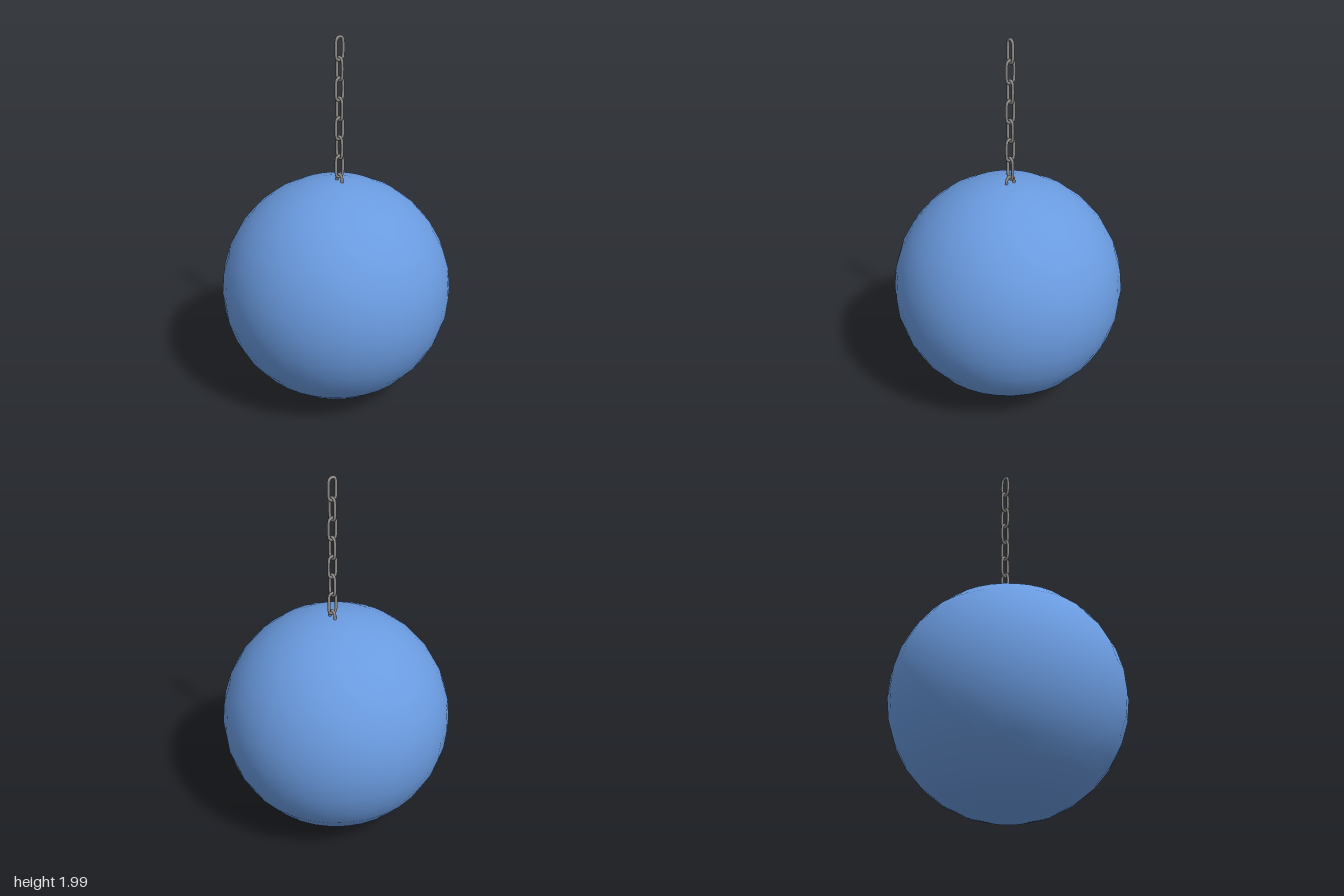
import * as THREE from 'three';

const BALL_RADIUS = 0.613, BALL_Y = 0.619;
const LINK_LENGTH = 0.133, LINK_WIDTH = 0.057, WIRE = 0.0075;
const LINK_SPACING = 0.1035, LINK_COUNT = 8, CHAIN_Z = -0.022;

// Closed oval centre line: two straight sides joined by half circles
function linkCurve() {
  const r = LINK_WIDTH / 2 - WIRE;
  const h = LINK_LENGTH / 2 - WIRE - r;
  const points = [];
  for (const side of [1, -1]) {
    for (let i = 0; i <= 6; i++) {
      const a = (i / 6) * Math.PI + (side < 0 ? Math.PI : 0);
      points.push(new THREE.Vector3(r * Math.cos(a), side * h + r * Math.sin(a), 0));
    }
  }
  return new THREE.CatmullRomCurve3(points, true, 'centripetal');
}

export function createModel() {
  const blue = new THREE.MeshStandardMaterial({ color: 0x6a9be0 });
  blue.name = 'blue';
  const steel = new THREE.MeshStandardMaterial({ color: 0x918f8d });
  steel.name = 'steel grey';

  const model = new THREE.Group();
  model.name = 'ballOnChain';

  // Ball
  const ball = new THREE.Mesh(new THREE.SphereGeometry(BALL_RADIUS, 32, 16), blue);
  ball.name = 'ball';
  ball.position.y = BALL_Y;
  ball.rotation.y = Math.PI / 32;
  model.add(ball);

  // Chain: links alternate by a quarter turn, the lowest is sunk into the ball
  const chain = new THREE.Group();
  chain.name = 'chain';
  const linkGeometry = new THREE.TubeGeometry(linkCurve(), 48, WIRE, 10, true);
  for (let i = 0; i < LINK_COUNT; i++) {
    const link = new THREE.Mesh(linkGeometry, steel);
    link.name = `chainLink${i + 1}`;
    link.position.set(0, 2 - LINK_LENGTH / 2 - i * LINK_SPACING, CHAIN_Z);
    link.rotation.y = i % 2 === 0 ? Math.PI / 2 : 0;
    chain.add(link);
  }
  model.add(chain);

  return model;
}
